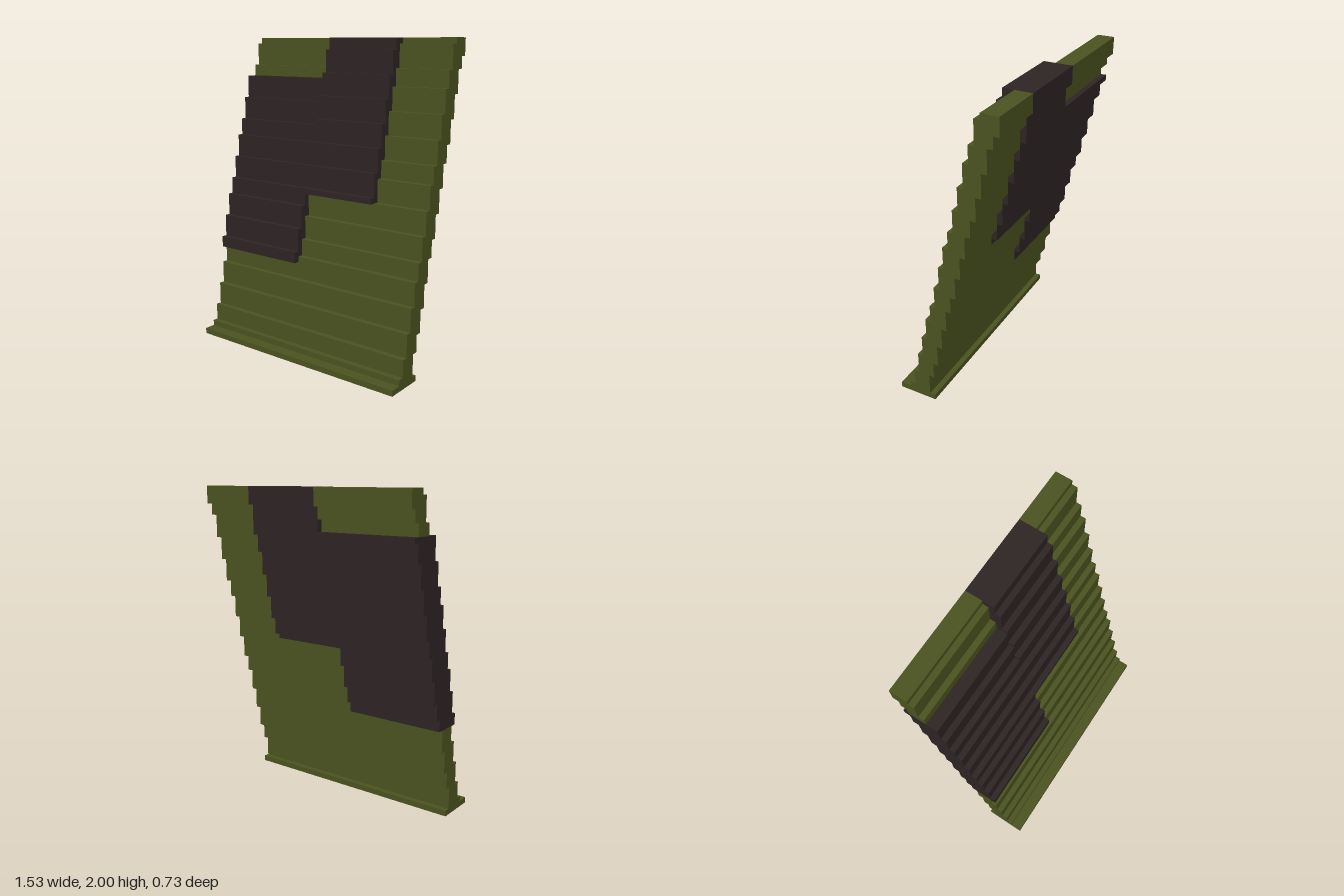
import * as THREE from 'three';

const U = 2 / 55; // edge length of one block; all numbers below are in blocks

// Staircase edges as [height where the step starts, z]
const steps = (z, ...ys) => ys.map((y, i) => [y, z - i]);
const greenFront = [[0, 10], ...steps(8, 1, 2, 5, 9, 13, 17, 20, 24, 28, 32, 35, 39, 43, 47, 50, 54)];
const greenBack = [[0, 3], ...steps(4, 1, 5, 8, 12, 16, 20, 23, 27, 31, 35, 38, 42, 46, 50, 52)];
const darkFrontLeft = steps(5, 16, 18, 22, 26, 29, 33, 37, 40, 44);
const darkFrontMid = steps(5, 16, 18, 22, 26, 29, 33, 37, 41, 45, 49, 53);
const darkBack = steps(0, 16, 18, 21, 25, 29, 32, 36, 40, 44, 47, 52);

// Corner points of a staircase between two heights
function edge(list, lo, hi) {
  const pts = [];
  list.forEach(([y, z], i) => {
    const a = Math.max(y, lo);
    const b = Math.min(i + 1 < list.length ? list[i + 1][0] : hi, hi);
    if (b > a) pts.push([z, a], [z, b]);
  });
  return pts;
}

// Leaning stepped slab between x0..x1 and y0..y1
function slab(name, material, front, back, x0, x1, y0, y1) {
  const outline = [...edge(back, y0, y1), ...edge(front, y0, y1).reverse()];
  const shape = new THREE.Shape(outline.map(([z, y]) => new THREE.Vector2(z * U, y * U)));
  const geometry = new THREE.ExtrudeGeometry(shape, { depth: (x1 - x0) * U, bevelEnabled: false });
  geometry.rotateY(-Math.PI / 2).translate(x1 * U, 0, 0);
  const mesh = new THREE.Mesh(geometry, material);
  mesh.name = name;
  return mesh;
}

export function createModel() {
  const green = new THREE.MeshStandardMaterial({ color: 0x4b5320 });
  green.name = 'olive green';
  const dark = new THREE.MeshStandardMaterial({ color: 0x2e2424 });
  dark.name = 'dark brown';

  const model = new THREE.Group();
  model.name = 'leaningPanel';
  model.add(
    // Green sheet, with its foot at the bottom
    slab('lowerPanel', green, greenFront, greenBack, -21, 21, 0, 16),
    slab('middlePanel', green, greenFront, greenBack, -3, 21, 16, 28),
    slab('sidePanel', green, greenFront, greenBack, 11, 21, 28, 55),
    slab('cornerPanel', green, greenFront, greenBack, -21, -3, 48, 55),
    // Thicker dark patches
    slab('outerPatch', dark, darkFrontLeft, darkBack, -21, -3, 16, 48),
    slab('upperPatch', dark, darkFrontMid, darkBack, -3, 11, 28, 55)
  );
  return model;
}
